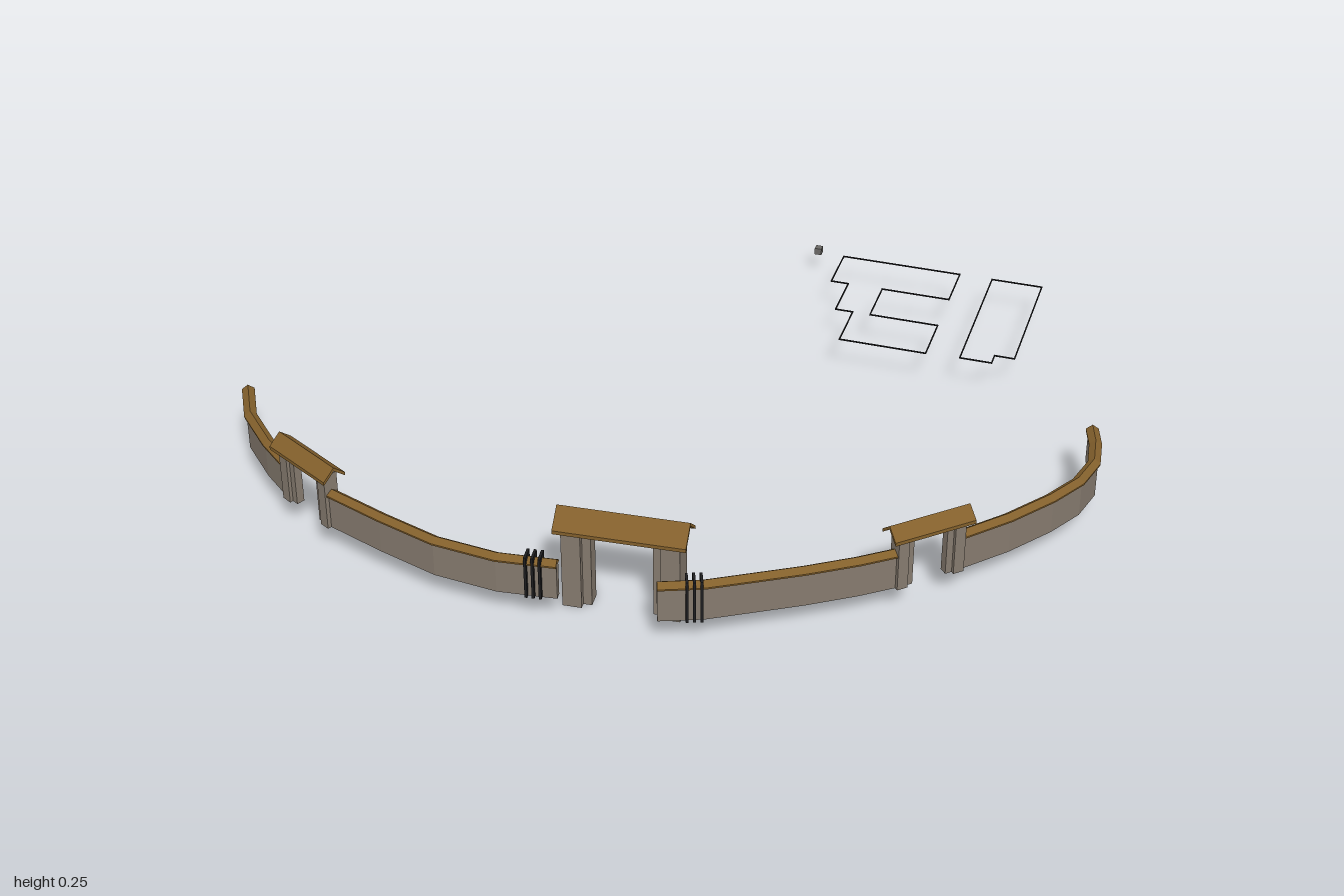
import * as THREE from 'three';

const stone = new THREE.MeshStandardMaterial({ color: 0x857a6e, name: 'stone' });
const roofing = new THREE.MeshStandardMaterial({ color: 0x83602c, name: 'roof brown' });
const dark = new THREE.MeshStandardMaterial({ color: 0x1c1c1e, name: 'dark iron' });
const grey = new THREE.MeshStandardMaterial({ color: 0x6a6865, name: 'grey' });

function add(parent, name, geometry, material, x = 0, y = 0, z = 0) {
  const mesh = new THREE.Mesh(geometry, material);
  mesh.name = name;
  mesh.position.set(x, y, z);
  parent.add(mesh);
  return mesh;
}

// Sweeps a convex section of [offset, y] points along a path of [x, z] points.
function sweep(path, section) {
  const rings = path.map((p, i) => {
    const a = path[Math.max(i - 1, 0)], b = path[Math.min(i + 1, path.length - 1)];
    const t = new THREE.Vector2(b[0] - a[0], b[1] - a[1]).normalize();
    return section.map(([o, y]) => [p[0] - t.y * o, y, p[1] + t.x * o]);
  });
  const out = [], n = section.length, last = rings[rings.length - 1];
  const tri = (...corners) => corners.forEach((c) => out.push(...c));
  for (let i = 0; i < rings.length - 1; i++) {
    for (let j = 0; j < n; j++) {
      const k = (j + 1) % n, r = rings[i], s = rings[i + 1];
      tri(r[j], s[j], s[k]);
      tri(r[j], s[k], r[k]);
    }
  }
  for (let j = 1; j < n - 1; j++) {
    tri(rings[0][0], rings[0][j], rings[0][j + 1]);
    tri(last[0], last[j + 1], last[j]);
  }
  const g = new THREE.BufferGeometry();
  g.setAttribute('position', new THREE.Float32BufferAttribute(out, 3));
  g.computeVertexNormals();
  return g;
}

const WALL = [[-0.009, 0.07], [0.009, 0.07], [0.009, 0.16], [-0.009, 0.16]];
const COPING = [[-0.015, 0.156], [0.015, 0.156], [0.015, 0.16], [0, 0.171], [-0.015, 0.16]];

// Gabled roof made of two thin slopes meeting at a ridge.
function gable(length, halfWidth, eave, ridge, thick) {
  const shape = new THREE.Shape([
    [-halfWidth, eave], [0, ridge - thick], [halfWidth, eave],
    [halfWidth, eave + thick], [0, ridge], [-halfWidth, eave + thick],
  ].map(([x, y]) => new THREE.Vector2(x, y)));
  const g = new THREE.ExtrudeGeometry(shape, { depth: length, bevelEnabled: false });
  g.translate(0, 0, -length / 2);
  g.rotateY(Math.PI / 2);
  return g;
}

// Roofed gateway: pillars with narrower inner jambs, a lintel and a gable roof.
function gate(name, o) {
  const g = new THREE.Group();
  g.name = name;
  g.position.set(o.x, 0, o.z);
  g.rotation.y = o.turn;
  const h = o.top - o.base;
  for (const side of [-1, 1]) {
    add(g, 'pillar', new THREE.BoxGeometry(o.pillar, h, o.depth), stone,
      side * (o.span / 2 - o.pillar / 2), o.base + h / 2);
    add(g, 'jamb', new THREE.BoxGeometry(o.jamb, h, o.depth * 0.55), stone,
      side * (o.span / 2 - o.pillar - o.jamb / 2), o.base + h / 2);
  }
  add(g, 'lintel', new THREE.BoxGeometry(o.span, o.beam, o.depth * 0.55), stone,
    0, o.top - o.beam / 2);
  add(g, 'roof', gable(o.roofLength, o.roofWidth / 2, o.eave, o.ridge, 0.009), roofing);
  return g;
}

export function createModel() {
  const model = new THREE.Group();
  model.name = 'walledGateway';

  // Curved enclosure wall, interrupted by the gates
  const runs = {
    rightOuterWall: [[-0.993, 0.366], [-0.94, 0.467], [-0.85, 0.56], [-0.775, 0.622]],
    rightInnerWall: [[-0.635, 0.698], [-0.49, 0.75], [-0.345, 0.795], [-0.195, 0.81], [-0.06, 0.795]],
    leftInnerWall: [[0.17, 0.806], [0.265, 0.77], [0.457, 0.66], [0.56, 0.594], [0.632, 0.541]],
    leftOuterWall: [[0.752, 0.433], [0.84, 0.34], [0.916, 0.24], [0.964, 0.158],
      [0.985, 0.075], [0.975, 0], [0.957, -0.06]],
  };
  for (const [name, path] of Object.entries(runs)) {
    add(model, name, sweep(path, WALL), stone);
    add(model, name + 'Coping', sweep(path, COPING), roofing);
  }

  // Two small gates and the tall main gate
  const small = {
    span: 0.167, pillar: 0.026, jamb: 0.016, depth: 0.036, base: 0.07, top: 0.212,
    beam: 0.012, roofLength: 0.2, roofWidth: 0.06, eave: 0.203, ridge: 0.238,
  };
  model.add(gate('rightGate', { ...small, x: -0.705, z: 0.66, turn: -0.5 }));
  model.add(gate('leftGate', { ...small, x: 0.692, z: 0.487, turn: 0.733 }));
  model.add(gate('mainGate', {
    x: 0.059, z: 0.696, turn: 0.07, span: 0.268, pillar: 0.044, jamb: 0.02, depth: 0.066,
    base: 0, top: 0.212, beam: 0.025, roofLength: 0.3, roofWidth: 0.09, eave: 0.202, ridge: 0.25,
  }));

  // Dark iron hoops around the wall beside the main gate
  for (const [x, z, turn] of [[-0.112, 0.801, 0.11], [0.245, 0.778, 0.36]]) {
    const hoops = new THREE.Group();
    hoops.name = 'wallHoops';
    hoops.position.set(x, 0.124, z);
    hoops.rotation.y = turn;
    for (const i of [-1, 0, 1]) {
      add(hoops, 'hoop', new THREE.BoxGeometry(0.006, 0.108, 0.036), dark, i * 0.016);
    }
    model.add(hoops);
  }

  // Thin building outlines inside the enclosure
  const outlines = {
    hallOutline: [[0.185, -0.75], [0.185, -0.62], [0.23, -0.62], [0.23, -0.49], [0.275, -0.49],
      [0.275, -0.355], [0.495, -0.355], [0.495, -0.49], [0.32, -0.49], [0.32, -0.62],
      [0.495, -0.62], [0.495, -0.75]],
    wingOutline: [[0.58, -0.75], [0.58, -0.36], [0.66, -0.36], [0.66, -0.395],
      [0.71, -0.395], [0.71, -0.75]],
  };
  for (const [name, pts] of Object.entries(outlines)) {
    const g = new THREE.Group();
    g.name = name;
    pts.forEach(([x, z], i) => {
      const [u, w] = pts[(i + 1) % pts.length], t = 0.003;
      add(g, 'edge', new THREE.BoxGeometry(Math.abs(u - x) + t, t, Math.abs(w - z) + t), dark,
        (x + u) / 2, 0.099, (z + w) / 2);
    });
    model.add(g);
  }

  // Small marker block
  add(model, 'markerBlock', new THREE.BoxGeometry(0.018, 0.018, 0.018), grey, 0.1, 0.065, -0.818);
  return model;
}
